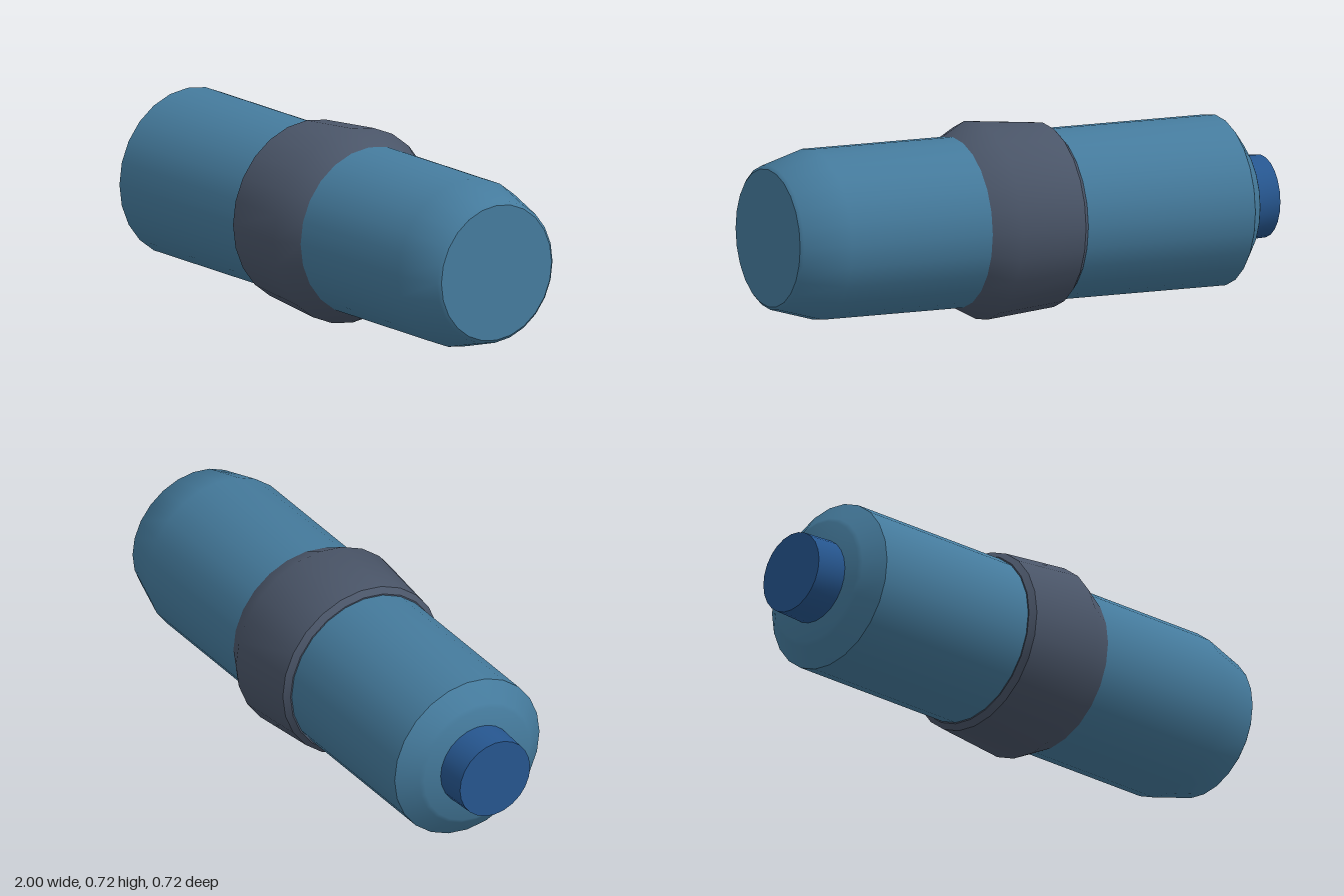
import * as THREE from 'three';
import { toCreasedNormals } from 'three/addons/utils/BufferGeometryUtils.js';

const SIDES = 24;
const AXIS_HEIGHT = 0.36;

function material(name, color) {
  const m = new THREE.MeshStandardMaterial({ color });
  m.name = name;
  return m;
}

// Turns a profile of [x, radius] pairs around the long axis
function turned(name, profile, mat) {
  const points = profile.map(([x, r]) => new THREE.Vector2(r, x));
  const lathe = new THREE.LatheGeometry(points, SIDES);
  lathe.rotateZ(-Math.PI / 2);
  const mesh = new THREE.Mesh(toCreasedNormals(lathe, 0.68), mat);
  mesh.name = name;
  mesh.position.y = AXIS_HEIGHT;
  return mesh;
}

export function createModel() {
  const blue = material('steel blue', 0x457b9d);
  const grey = material('slate grey', 0x4a5568);
  const navy = material('deep blue', 0x26568f);

  const group = new THREE.Group();
  group.name = 'capsule';

  group.add(
    // Main cylinder: chamfered rear, tapered nose
    turned('body', [
      [-0.88, 0], [-0.88, 0.225], [-0.87, 0.24], [-0.815, 0.31],
      [0.82, 0.31], [0.99, 0.262], [1, 0.25], [1, 0],
    ], blue),
    // Flared band around the middle
    turned('collar', [
      [-0.135, 0.3], [-0.135, 0.315], [-0.115, 0.335],
      [0.155, 0.36], [0.25, 0.31], [0.25, 0.3],
    ], grey),
    // Small stub at the rear
    turned('rearStub', [
      [-1, 0], [-1, 0.15], [-0.87, 0.156],
    ], navy),
  );
  return group;
}
